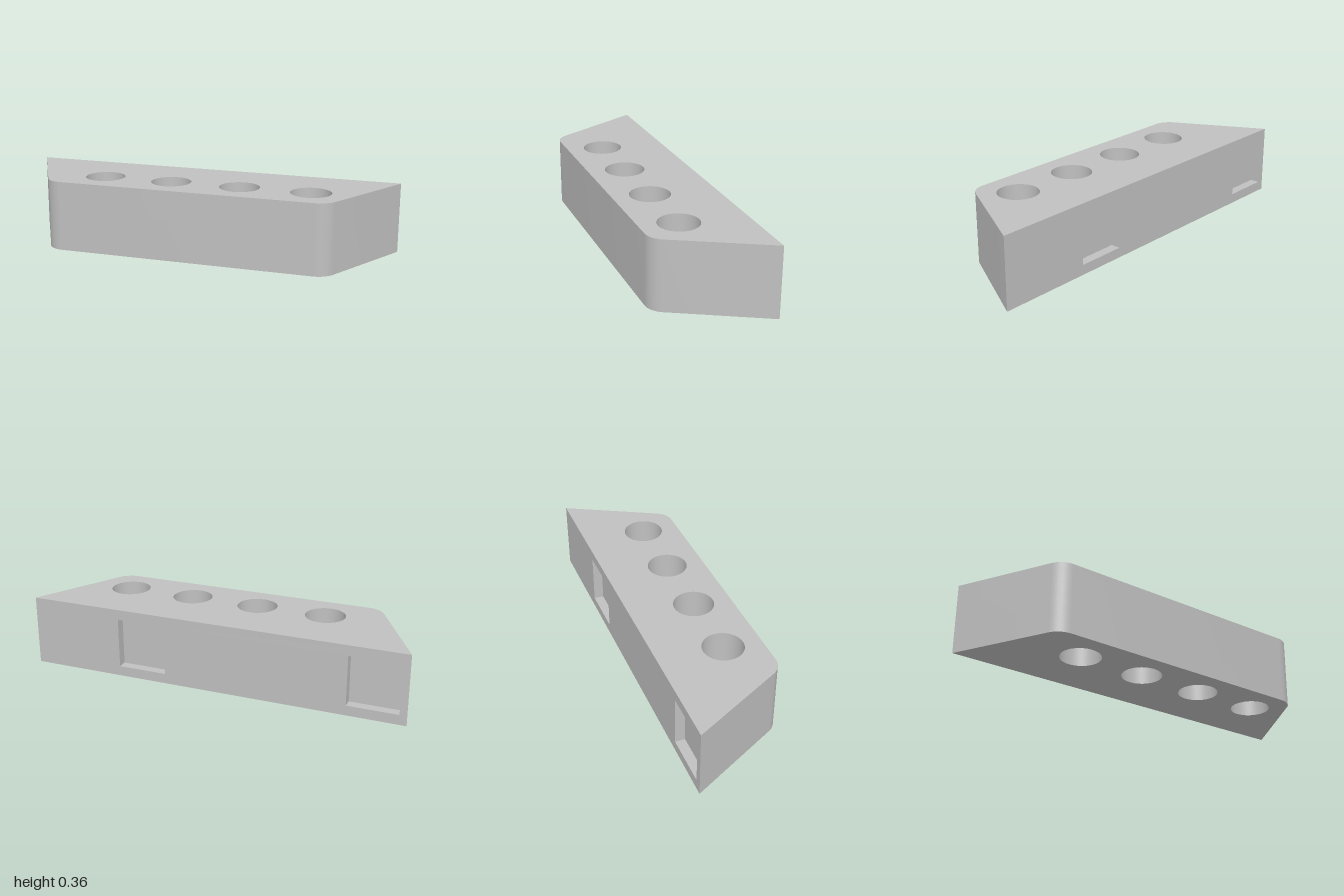
import * as THREE from 'three';
import { toCreasedNormals } from 'three/addons/utils/BufferGeometryUtils.js';

const HEIGHT = 0.364;
const BACK = -0.26;
const HOLES = { xs: [-0.488, -0.123, 0.241, 0.606], z: 0.07, radius: 0.103 };
const POCKETS = { xs: [0.384, -0.833], size: 0.26, depth: 0.05 };

// Keeps only the triangles that are not lying in the back plane.
function withoutBackWall(geometry) {
  const p = geometry.attributes.position;
  const kept = [];
  for (let i = 0; i < p.count; i += 3) {
    const onBack = [0, 1, 2].every((k) => Math.abs(p.getZ(i + k) - BACK) < 1e-5);
    if (!onBack) kept.push(i, i + 1, i + 2);
  }
  geometry.setIndex(kept);
  geometry.clearGroups();
  return geometry.toNonIndexed();
}

// Trapezoid block with rounded front corners and round through holes.
function blockGeometry() {
  const r = 0.104, cx = 0.662, cy = BACK + r;
  const turn = THREE.MathUtils.degToRad(62);
  const shape = new THREE.Shape();
  shape.moveTo(1, -BACK);
  shape.lineTo(-1, -BACK);
  shape.absarc(-cx, cy, r, -Math.PI / 2 - turn, -Math.PI / 2, false);
  shape.absarc(cx, cy, r, -Math.PI / 2, -Math.PI / 2 + turn, false);
  shape.closePath();
  for (const x of HOLES.xs) {
    const hole = new THREE.Path();
    hole.absarc(x, -HOLES.z, HOLES.radius, 0, Math.PI * 2, true);
    shape.holes.push(hole);
  }
  const geometry = new THREE.ExtrudeGeometry(shape, { depth: HEIGHT, bevelEnabled: false, curveSegments: 24 });
  geometry.rotateX(-Math.PI / 2);
  return toCreasedNormals(withoutBackWall(geometry), 0.5);
}

// Back wall with two square openings.
function backGeometry() {
  const shape = new THREE.Shape();
  shape.moveTo(-1, 0).lineTo(1, 0).lineTo(1, HEIGHT).lineTo(-1, HEIGHT).closePath();
  const h = POCKETS.size / 2, y = HEIGHT / 2;
  for (const px of POCKETS.xs) {
    const x = -px;
    const opening = new THREE.Path();
    opening.moveTo(x - h, y - h).lineTo(x - h, y + h).lineTo(x + h, y + h).lineTo(x + h, y - h).closePath();
    shape.holes.push(opening);
  }
  return new THREE.ShapeGeometry(shape).rotateY(Math.PI).translate(0, 0, BACK);
}

// Box turned inside out, open towards the back.
function pocketGeometry() {
  const box = new THREE.BoxGeometry(POCKETS.size, POCKETS.size, POCKETS.depth);
  box.setIndex(Array.from(box.index.array).slice(0, 30));
  box.clearGroups();
  box.scale(-1, 1, 1);
  const inside = box.toNonIndexed();
  inside.computeVertexNormals();
  return inside;
}

export function createModel() {
  const group = new THREE.Group();
  group.name = 'holderBlock';
  const grey = new THREE.MeshStandardMaterial({ color: 0xc0c0c0 });
  grey.name = 'lightGrey';

  const add = (name, geometry) => {
    const mesh = new THREE.Mesh(geometry, grey);
    mesh.name = name;
    group.add(mesh);
    return mesh;
  };

  add('block', blockGeometry());
  add('backWall', backGeometry());
  const pocket = pocketGeometry();
  POCKETS.xs.forEach((x, i) => {
    add(`squarePocket${i + 1}`, pocket).position.set(x, HEIGHT / 2, BACK + POCKETS.depth / 2);
  });
  return group;
}
